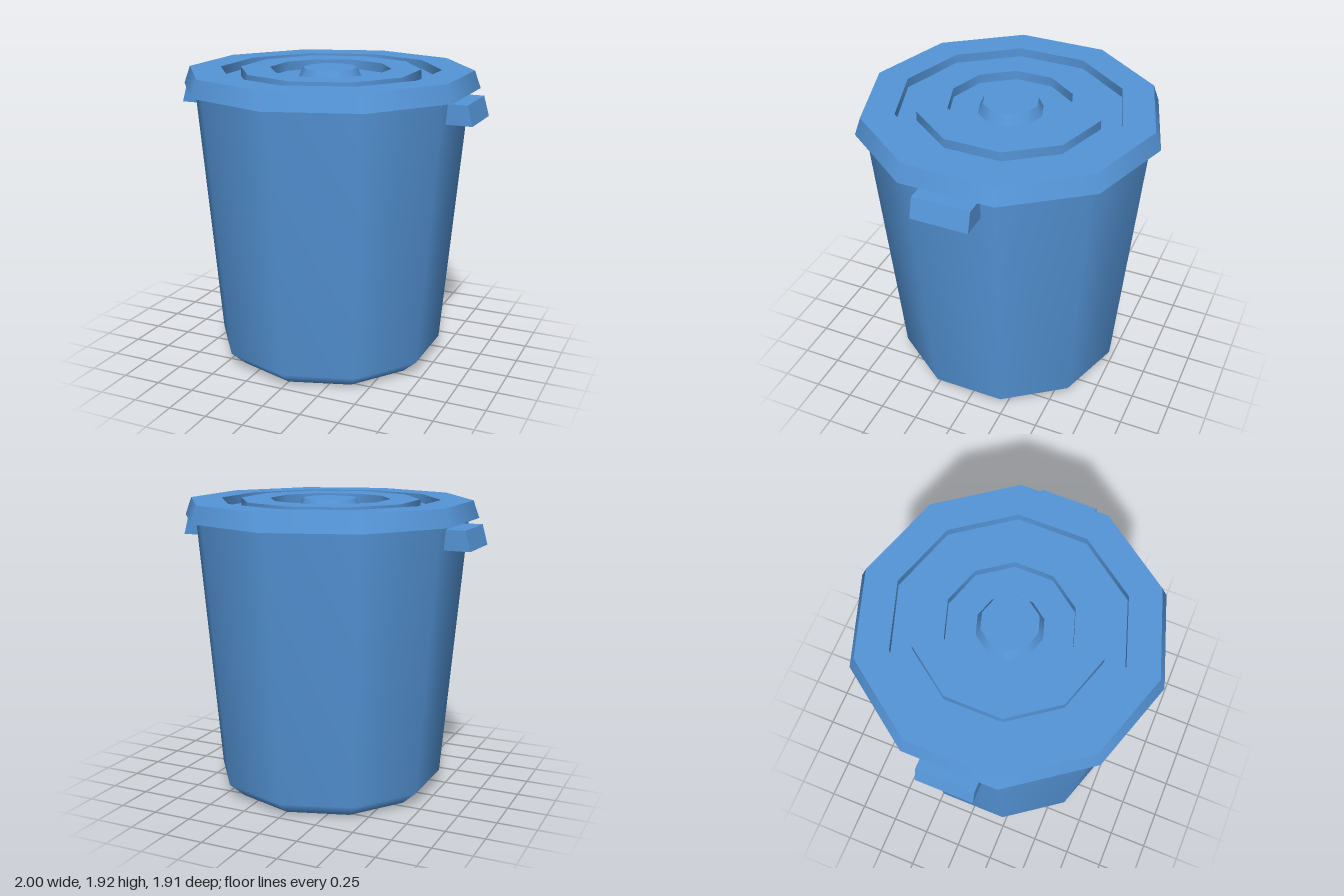
import * as THREE from 'three';
import { mergeGeometries } from 'three/addons/utils/BufferGeometryUtils.js';

const SIDES = 10;
const points = (list) => list.map(([r, y]) => new THREE.Vector2(r, y));

// Lathe smooth around the axis, with a hard edge at every profile corner
function creasedLathe(profile) {
  const bands = [];
  for (let i = 0; i < profile.length - 1; i++) {
    bands.push(new THREE.LatheGeometry(points([profile[i], profile[i + 1]]), SIDES));
  }
  return mergeGeometries(bands);
}

export function createModel() {
  const group = new THREE.Group();
  group.name = 'bin';
  const blue = new THREE.MeshStandardMaterial({ color: 0x5595d8 });
  blue.name = 'bluePlastic';

  const add = (geometry, name) => {
    const mesh = new THREE.Mesh(geometry, blue);
    mesh.name = name;
    group.add(mesh);
    return mesh;
  };

  // Tapered body with a softly shaded bevel at the foot
  add(new THREE.LatheGeometry(points([[0.645, 0], [0.745, 0.09], [0.89, 1.8]]), SIDES), 'body');
  add(creasedLathe([[0, 0], [0.645, 0]]), 'base');

  // Flared lid with an annular groove and a sunken centre
  add(creasedLathe([
    [0, 1.8], [0.955, 1.8], [0.915, 1.91],
    [0.71, 1.91], [0.71, 1.852],
    [0.58, 1.852], [0.58, 1.912],
    [0.39, 1.912], [0.39, 1.852], [0, 1.852],
  ]), 'lid');

  // Low knob in the middle of the lid
  add(creasedLathe([[0.205, 1.852], [0.175, 1.917], [0, 1.917]]), 'lidKnob');

  // Sloped grips on both sides
  const grip = new THREE.Shape(points([[0.8, 1.65], [1.0, 1.65], [0.965, 1.775], [0.8, 1.775]]));
  const gripGeometry = new THREE.ExtrudeGeometry(grip, { depth: 0.36, bevelEnabled: false });
  gripGeometry.translate(0, 0, -0.18);
  add(gripGeometry, 'leftHandle');
  add(gripGeometry, 'rightHandle').rotation.y = Math.PI;

  return group;
}
